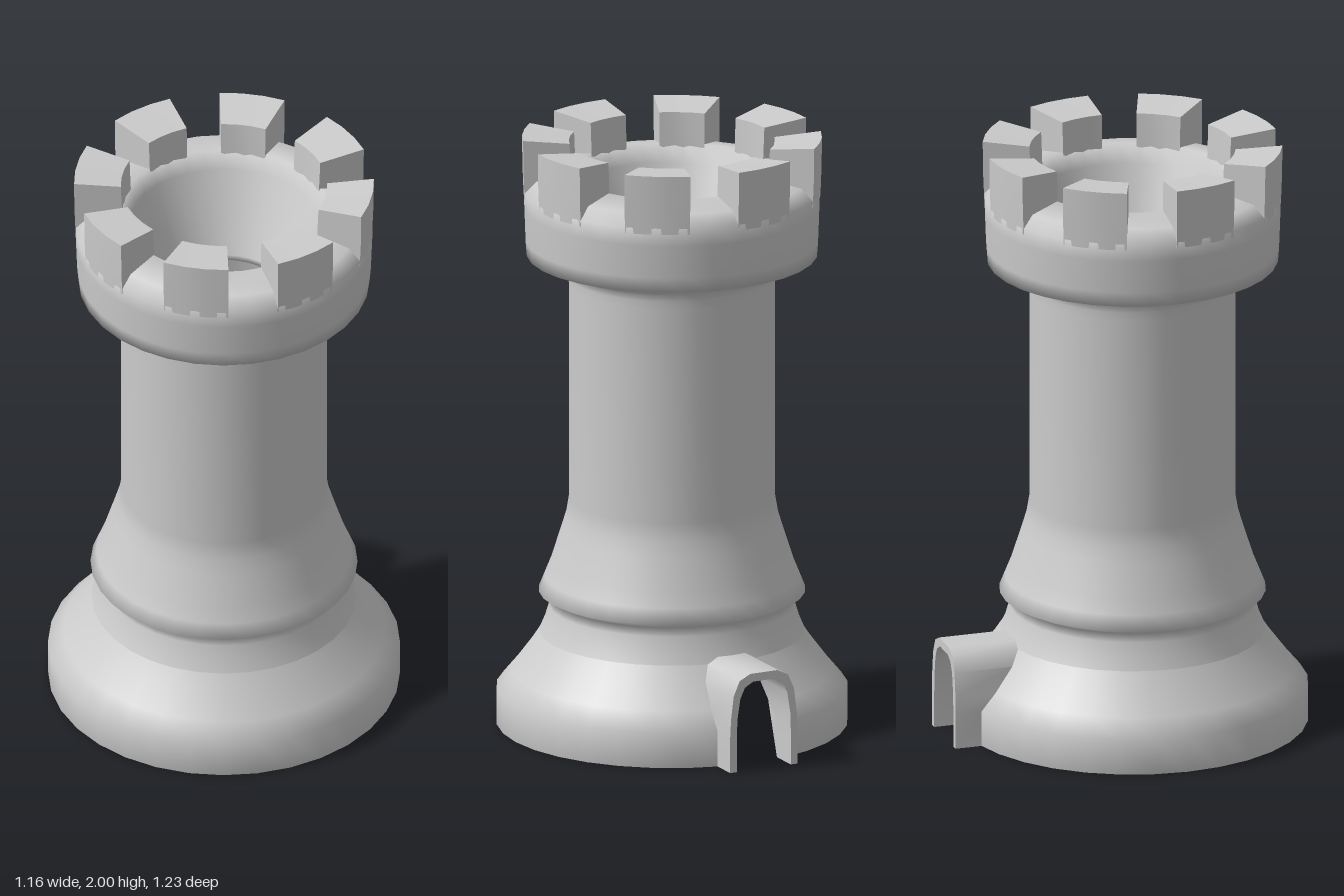
import * as THREE from 'three';
import { mergeGeometries, toCreasedNormals } from 'three/addons/utils/BufferGeometryUtils.js';

const SIDES = 32;
const STEP = (Math.PI * 2) / SIDES;
const material = new THREE.MeshStandardMaterial({ color: 0xcccccc, side: THREE.DoubleSide });
const points = (list) => list.map(([x, y]) => new THREE.Vector2(x, y));

// Outer profile of the flared skirt, bottom to top
const skirt = [[0.58, 0], [0.58, 0.12], [0.53, 0.18], [0.47, 0.26], [0.437, 0.31]];
const WALL = 0.022;

function skirtRadius(y) {
  for (let i = 1; i < skirt.length; i++) {
    const [r0, y0] = skirt[i - 1], [r1, y1] = skirt[i];
    if (y <= y1) return THREE.MathUtils.mapLinear(y, y0, y1, r0, r1);
  }
  return 0.425;
}

function addMesh(group, name, geometry) {
  const mesh = new THREE.Mesh(geometry, material);
  mesh.name = name;
  group.add(mesh);
  return mesh;
}

// A solid slice of a ring: swept section plus its two flat ends
function ringSlice(section, start, length, segments) {
  const closed = points([...section, section[0]]);
  const caps = [start, start + length].map((a) =>
    new THREE.ShapeGeometry(new THREE.Shape(points(section))).rotateY(a - Math.PI / 2));
  // turn the starting end outward
  const index = caps[0].index.array;
  for (let i = 0; i < index.length; i += 3) [index[i], index[i + 1]] = [index[i + 1], index[i]];
  const sweep = new THREE.LatheGeometry(closed, segments, start, length);
  return toCreasedNormals(mergeGeometries([sweep, ...caps]), 0.6);
}

// Inverted U whose inner end follows the skirt wall
function archGeometry() {
  const mirrored = (half) => [...half, ...half.map(([x, y]) => [-x, y]).reverse()];
  const outer = mirrored([[0.125, 0], [0.125, 0.12], [0.122, 0.18], [0.112, 0.26], [0.09, 0.31], [0.05, 0.33]]);
  const inner = mirrored([[0.1, 0], [0.1, 0.12], [0.098, 0.18], [0.087, 0.25], [0.07, 0.285], [0.04, 0.302]]);
  const shape = new THREE.Shape(points([...outer, ...inner.reverse()]));
  const geometry = new THREE.ExtrudeGeometry(shape, { depth: 1, bevelEnabled: false });
  const p = geometry.attributes.position;
  for (let i = 0; i < p.count; i++) {
    const r = skirtRadius(p.getY(i)) - 0.015;
    p.setZ(i, p.getZ(i) < 0.5 ? -0.655 : -Math.sqrt(r * r - p.getX(i) ** 2));
  }
  return toCreasedNormals(geometry, 0.7);
}

export function createModel() {
  const model = new THREE.Group();
  model.name = 'castleTower';
  const tower = new THREE.Group();
  tower.name = 'tower';
  tower.position.z = 0.035;
  model.add(tower);

  // Hollow skirt, open at the back behind the arch
  const skirtInside = skirt.map(([r, y]) => [r - WALL, y]).reverse();
  addMesh(tower, 'skirt', new THREE.LatheGeometry(
    points([...skirtInside, ...skirt]), SIDES - 2, Math.PI + STEP, Math.PI * 2 - 2 * STEP));

  // Collar, shaft, neck, crown and funnel, then back down the inside
  addMesh(tower, 'body', new THREE.LatheGeometry(points([
    [0.437, 0.31], [0.42, 0.35], [0.405, 0.4], [0.4, 0.43],
    [0.44, 0.45], [0.42, 0.5], [0.4, 0.55], [0.365, 0.66], [0.35, 0.71], [0.34, 0.77],
    [0.34, 1.5], [0.344, 1.53], [0.344, 1.56], [0.37, 1.56], [0.37, 1.6],
    [0.48, 1.6], [0.484, 1.65], [0.488, 1.76], [0.49, 1.82],
    [0.45, 1.86], [0.34, 1.88], [0.315, 1.82], [0.205, 1.55], [0.205, 1.53],
    [0.315, 1.5], [0.318, 0.77], [0.34, 0.66], [0.38, 0.55], [0.41, 0.47],
    [0.378, 0.44], [0.385, 0.4], [0.415, 0.31],
  ]), SIDES));

  // Eight battlements
  const section = [[0.335, 1.86], [0.45, 1.82], [0.489, 1.8], [0.493, 1.9], [0.494, 2], [0.34, 1.985]];
  const deg = Math.PI / 180;
  for (let i = 0; i < 8; i++) {
    addMesh(tower, 'battlement', ringSlice(section, (-1 + 45 * i) * deg, 25.5 * deg, 3));
  }

  // Small open arch at the back of the base
  addMesh(tower, 'backArch', archGeometry());
  return model;
}
